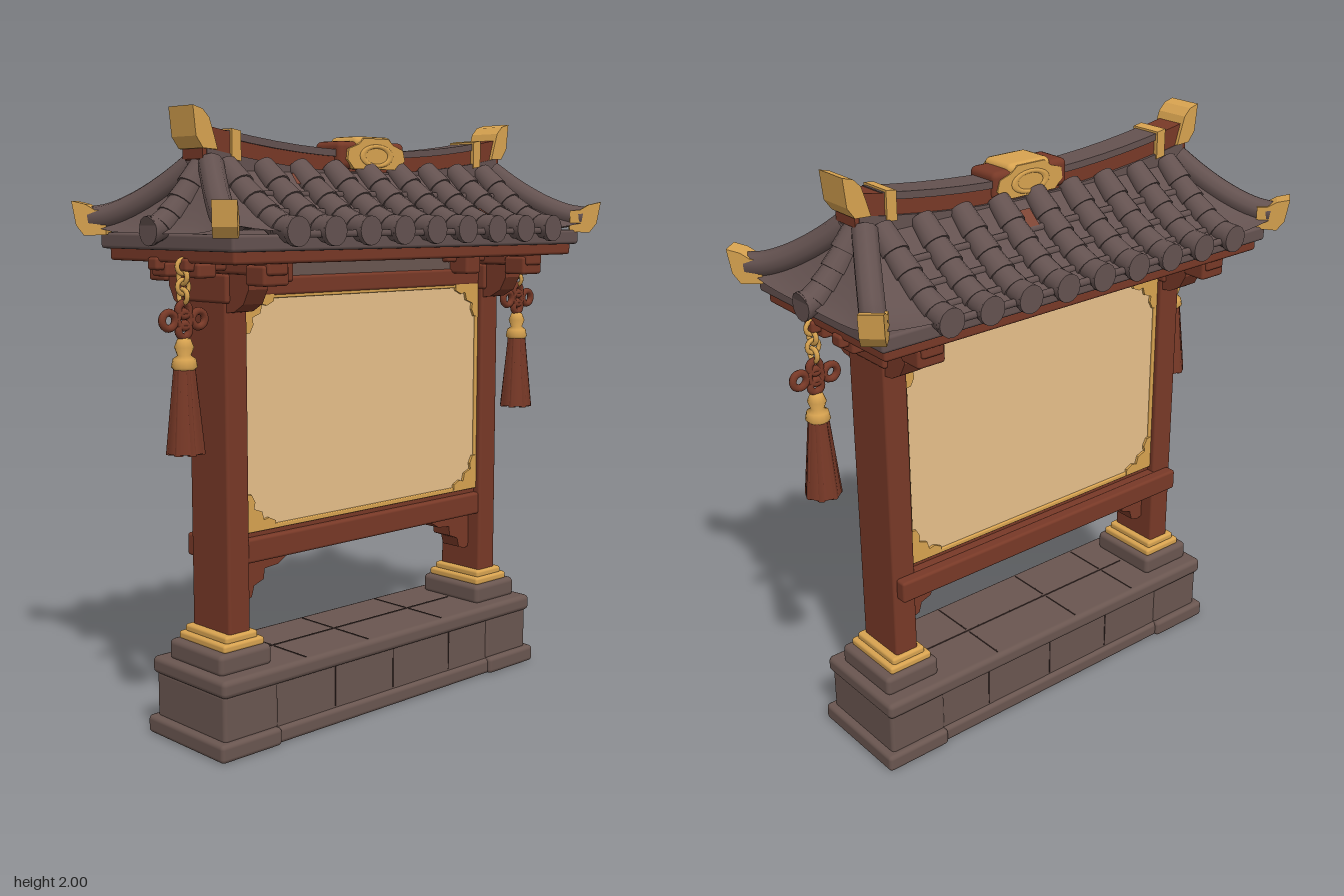
import * as THREE from 'three';
import { RoundedBoxGeometry } from 'three/addons/geometries/RoundedBoxGeometry.js';

export function createModel() {
  const root = new THREE.Group();
  const mat = (name, color, side = THREE.FrontSide) => {
    const m = new THREE.MeshStandardMaterial({ color, side });
    m.name = name;
    return m;
  };
  const stone = mat('stone', 0x6a5650);
  const tile = mat('roofTile', 0x645250, THREE.DoubleSide);
  const red = mat('redWood', 0x783927);
  const gold = mat('gold', 0xd8a350);
  const paper = mat('parchment', 0xf0c790);
  const dark = mat('darkSeam', 0x3b2c29);
  const patch = mat('exposedBoard', 0x7c4434, THREE.DoubleSide);

  const add = (name, geo, material, parent = root) => {
    const m = new THREE.Mesh(geo, material);
    m.name = name;
    parent.add(m);
    return m;
  };
  // Bevelled block given by its extents on each axis
  const block = (name, [x0, x1], [y0, y1], [z0, z1], material, bevel = 0.01, parent = root) => {
    const s = [x1 - x0, y1 - y0, z1 - z0];
    const m = add(name, new RoundedBoxGeometry(...s, 2, Math.min(bevel, Math.min(...s) * 0.4)), material, parent);
    m.position.set((x0 + x1) / 2, (y0 + y1) / 2, (z0 + z1) / 2);
    return m;
  };
  // Tapered rod from a to b
  const rod = (name, a, b, ra, rb, material, sides = 12, parent = root) => {
    const m = add(name, new THREE.CylinderGeometry(rb, ra, a.distanceTo(b), sides), material, parent);
    m.position.copy(a).add(b).multiplyScalar(0.5);
    m.quaternion.setFromUnitVectors(new THREE.Vector3(0, 1, 0), b.clone().sub(a).normalize());
    return m;
  };
  // Flat outline extruded symmetrically about z = 0
  const slab = (pts, depth) => {
    const g = new THREE.ExtrudeGeometry(new THREE.Shape(pts.map(p => new THREE.Vector2(...p))), { depth, bevelEnabled: false });
    return g.translate(0, 0, -depth / 2);
  };
  const mirrorPts = (pts, s) => (s > 0 ? pts : pts.map(([x, y]) => [-x, y]));
  const V = (x, y, z) => new THREE.Vector3(x, y, z);
  const sides = [-1, 1];

  // Stone base
  block('baseFoot', [-0.73, 0.73], [0, 0.055], [-0.185, 0.185], stone, 0.015);
  block('baseBody', [-0.705, 0.705], [0.04, 0.22], [-0.17, 0.17], stone, 0.015);
  block('baseTop', [-0.73, 0.73], [0.2, 0.258], [-0.19, 0.19], stone, 0.018);
  for (const s of sides) {
    const span = (a, b) => (s > 0 ? [a, b] : [-b, -a]);
    block('baseCornerFoot', span(0.5, 0.745), [0, 0.06], [-0.198, 0.198], stone, 0.015);
    block('baseCornerBody', span(0.5, 0.72), [0.05, 0.21], [-0.178, 0.178], stone, 0.015);
    block('postPlinth', span(0.49, 0.7), [0.25, 0.322], [-0.137, 0.137], stone, 0.018);
    for (const x of [-0.25, 0.02, 0.3]) block('baseSeam', [x, x + 0.005], [0.06, 0.2], span(0.168, 0.172), dark, 0.001);
    for (const x of [-0.38, -0.1, 0.26]) block('slabSeam', [x, x + 0.005], [0.255, 0.26], span(0.01, 0.17), dark, 0.001);
  }
  block('slabSeamLong', [-0.48, 0.48], [0.255, 0.26], [-0.003, 0.003], dark, 0.001);

  // Posts, brackets and tassels on both sides
  for (const s of sides) {
    const span = (a, b) => (s > 0 ? [a, b] : [-b, -a]);
    block('postCollar', span(0.508, 0.672), [0.318, 0.346], [-0.12, 0.12], gold);
    block('postCollarTop', span(0.525, 0.655), [0.34, 0.368], [-0.108, 0.108], gold);
    block('post', span(0.545, 0.632), [0.35, 1.5], [-0.095, 0.095], red);
    block('postCapital', span(0.54, 0.64), [1.41, 1.5], [-0.11, 0.11], red);

    // Stepped cloud bracket under the lower beam
    const cloud = [[0.56, 0.59], [0.35, 0.59], [0.35, 0.565], [0.385, 0.545], [0.44, 0.54], [0.445, 0.505],
      [0.485, 0.49], [0.495, 0.455], [0.525, 0.445], [0.56, 0.455]];
    add('cloudBracket', slab(mirrorPts(cloud, s), 0.08), red);

    // Roof bracket set: curved cross arm, bearing blocks and bars
    const arm = slab([[-0.2, 1.5], [-0.2, 1.455], [-0.175, 1.41], [-0.13, 1.385], [-0.09, 1.38], [0.09, 1.38],
      [0.13, 1.385], [0.175, 1.41], [0.2, 1.455], [0.2, 1.5]], 0.075).rotateY(Math.PI / 2);
    add('crossArm', arm, red).position.x = s * 0.588;
    block('crossBar', span(0.55, 0.63), [1.5, 1.55], [-0.3, 0.3], red);
    for (const z of sides) {
      block('bearingBlock', span(0.54, 0.64), [1.468, 1.53], z > 0 ? [0.2, 0.29] : [-0.29, -0.2], red);
      block('longBar', span(0.36, 0.78), [1.51, 1.55], z > 0 ? [0.05, 0.1] : [-0.1, -0.05], red);
      block('innerBearingBlock', span(0.4, 0.475), [1.47, 1.535], z > 0 ? [0.04, 0.15] : [-0.15, -0.04], red);
      block('outerBearingBlock', span(0.68, 0.75), [1.49, 1.535], z > 0 ? [0.04, 0.12] : [-0.12, -0.04], red);
    }

    // Hanging charm: chain, looped knot, bead and tassel
    const charm = new THREE.Group();
    charm.name = 'hangingTassel';
    charm.position.set(s * 0.77, 0, 0.07);
    root.add(charm);
    [1.525, 1.495, 1.465, 1.437].forEach((y, i) => {
      const link = add('chainLink', new THREE.TorusGeometry(0.021, 0.008, 6, 14), gold, charm);
      link.position.y = y;
      link.rotation.y = (i % 2) * Math.PI / 2;
    });
    for (const [x, y, r] of [[-0.055, 1.367, 0.024], [0.055, 1.367, 0.024], [0, 1.397, 0.02], [0, 1.367, 0.024], [0, 1.335, 0.02]])
      add('knotLoop', new THREE.TorusGeometry(r, 0.012, 8, 16), red, charm).position.set(x, y, 0);
    const cap = [[0.001, 1.315], [0.02, 1.31], [0.03, 1.285], [0.021, 1.26], [0.035, 1.25], [0.04, 1.225], [0.03, 1.215]];
    add('tasselCap', new THREE.LatheGeometry(cap.map(p => new THREE.Vector2(...p)).reverse(), 14), gold, charm);
    rod('tasselSkirt', V(0, 0.965, 0), V(0, 1.235, 0), 0.058, 0.03, red, 14, charm);
    for (let i = 0; i < 7; i++) {
      const a = i / 7 * Math.PI * 2, c = Math.cos(a), d = Math.sin(a);
      rod('tasselStrand', V(c * 0.047, 0.96, d * 0.047), V(c * 0.024, 1.23, d * 0.024), 0.014, 0.009, red, 6, charm);
    }
  }

  // Beams
  block('lowerBeam', [-0.56, 0.56], [0.58, 0.66], [-0.1, 0.088], red);
  block('backRail', [-0.62, 0.62], [0.585, 0.66], [-0.135, -0.09], red);
  block('panelSill', [-0.56, 0.56], [0.64, 0.69], [-0.065, 0.065], red);
  block('upperBeam', [-0.56, 0.56], [1.425, 1.485], [-0.08, 0.08], red);
  block('beamCap', [-0.56, 0.56], [1.475, 1.58], [-0.07, 0.07], stone);

  // Notice panel with gold trim and corner ornaments on both faces
  block('noticePanel', [-0.545, 0.545], [0.68, 1.435], [-0.068, 0.068], paper, 0.004);
  for (const z of sides) {
    const face = z > 0 ? [0.06, 0.076] : [-0.076, -0.06];
    for (const y of [0.676, 1.417]) block('panelTrim', [-0.545, 0.545], [y, y + 0.016], face, gold, 0.004);
    for (const x of [-0.547, 0.533]) block('panelTrim', [x, x + 0.014], [0.676, 1.433], face, gold, 0.004);
    for (const sx of sides) for (const sy of sides) {
      const c = [[0, 0], [0.12, 0], [0.118, 0.022], [0.09, 0.035], [0.07, 0.03], [0.062, 0.058], [0.03, 0.07], [0.034, 0.092], [0.02, 0.118], [0, 0.12]];
      const pts = c.map(([x, y]) => [sx * (0.542 - x), 1.056 + sy * (0.374 - y)]);
      add('cornerOrnament', slab(pts, 0.009), gold).position.z = z * 0.074;
    }
  }

  // Eave frame and ceiling
  block('ceiling', [-0.79, 0.79], [1.572, 1.622], [-0.335, 0.335], tile);
  for (const s of sides) {
    block('eaveBeam', [-0.77, 0.77], [1.535, 1.585], s > 0 ? [0.265, 0.315] : [-0.315, -0.265], red);
    block('eaveEndBeam', s > 0 ? [0.72, 0.77] : [-0.77, -0.72], [1.535, 1.585], [-0.315, 0.315], red);
  }

  // Concave hipped roof: t runs from ridge (0) to eave (1), u across each slope
  const X = t => 0.64 + 0.18 * t;
  const Z = t => 0.045 + 0.3 * t;
  const Y = t => 1.622 + 0.195 * Math.pow(Math.max(0, 1 - t), 1.4);
  const lift = (u, t) => 0.03 * t * t * Math.pow(Math.abs(u), 5);
  const slope = (s, alongX) => (u, t) => alongX
    ? V(u * X(t), Y(t) + lift(u, t), s * Z(t))
    : V(s * X(t), Y(t) + lift(u, t), u * Z(t));
  const surface = (fn, u0, u1, t0, t1, n, dy = 0) => {
    const g = new THREE.PlaneGeometry(1, 1, n, 8);
    const p = g.attributes.position;
    for (let i = 0; i < p.count; i++) {
      const v = fn(u0 + (u1 - u0) * (p.getX(i) + 0.5), t0 + (t1 - t0) * (0.5 - p.getY(i)));
      p.setXYZ(i, v.x, v.y + dy, v.z);
    }
    g.computeVertexNormals();
    return g;
  };
  // Row of overlapping barrel tiles along a path, closed by an eave disc
  const barrel = path => {
    const n = 5;
    for (let i = 0; i < n; i++)
      rod('barrelTile', path((i + 1.12) / n * 1.08), path(i / n * 1.08), 0.045, 0.038, tile, 14);
    rod('eaveDisc', path(1.13), path(1.07), 0.045, 0.045, tile, 16);
  };
  for (const s of sides) {
    add('longSlope', surface(slope(s, true), -1, 1, 0, 1.03, 32), tile);
    add('endSlope', surface(slope(s, false), -1, 1, 0, 1.0, 12), tile);
    for (let i = -4; i <= 4; i++) {
      const x = i * 0.146;
      barrel(t => V(x, Y(t) + 0.008, s * Z(t)));
      // Lapped edges of the pan tiles between the rows
      if (i < 4) for (const t of [0.3, 0.55, 0.8, 1.03])
        rod('panTileEdge', V(x + 0.03, Y(t), s * Z(t)), V(x + 0.116, Y(t), s * Z(t)), 0.012, 0.012, tile, 6);
    }
    barrel(t => V(s * X(t), Y(t) + 0.008, 0));

    // Hip ridges with upturned gold horns
    for (const z of sides) {
      const hip = t => V(s * X(t), Y(t) + lift(1, t) + 0.012, z * Z(t));
      const curve = new THREE.CatmullRomCurve3([0, 0.2, 0.4, 0.6, 0.8, 0.97].map(hip));
      add('hipRidge', new THREE.TubeGeometry(curve, 20, 0.04, 10), tile);
      const horn = slab([[-0.05, 1.615], [0.02, 1.612], [0.045, 1.645], [0.058, 1.72], [0.015, 1.71], [-0.015, 1.692], [-0.05, 1.69]], 0.072);
      const tip = add('hipHorn', horn, gold);
      tip.position.set(s * 0.815, 0, z * 0.335);
      tip.rotation.y = Math.atan2(-z * 0.75, s * 0.66);
    }
  }
  add('exposedBoardFront', surface(slope(1, true), 0.39, 0.51, 0.6, 0.9, 4, 0.02), patch);
  add('exposedBoardFrontTop', surface(slope(1, true), -0.52, -0.46, 0.08, 0.22, 4, 0.012), patch);
  add('exposedBoardBack', surface(slope(-1, true), 0.08, 0.16, 0.15, 0.32, 4, 0.015), patch);

  // Sagging main ridge, drawn as curved strips
  const sag = x => 0.14 * x * x;
  const strip = (x0, x1, y0, y1, depth) => {
    const pts = [];
    for (let i = 0; i <= 12; i++) { const x = x0 + (x1 - x0) * i / 12; pts.push([x, y0 + sag(x)]); }
    for (let i = 12; i >= 0; i--) { const x = x0 + (x1 - x0) * i / 12; pts.push([x, y1 + sag(x)]); }
    return slab(pts, depth);
  };
  add('ridgeBase', strip(-0.66, 0.66, 1.77, 1.815, 0.105), tile);
  add('ridgeBody', strip(-0.66, 0.66, 1.8, 1.868, 0.085), red);
  add('ridgeCap', strip(-0.58, 0.58, 1.862, 1.885, 0.098), tile);
  for (const s of sides) {
    const [a, b] = s > 0 ? [0.57, 0.675] : [-0.675, -0.57];
    add('ridgeEnd', strip(a, b, 1.78, 1.882, 0.1), red);
    add('ridgeBand', strip(s * 0.55 - 0.018, s * 0.55 + 0.018, 1.8, 1.892, 0.115), gold);
    const horn = [[0.625, 1.872], [0.68, 1.875], [0.706, 1.91], [0.716, 2], [0.68, 1.99], [0.655, 1.965], [0.64, 1.92]];
    add('ridgeHorn', slab(mirrorPts(horn, s), 0.122), gold);
  }

  // Central ridge ornament
  block('ornamentBody', [-0.13, 0.17], [1.825, 1.915], [-0.06, 0.07], red, 0.02);
  block('ornamentCrown', [-0.06, 0.11], [1.83, 1.932], [-0.062, 0.074], gold, 0.02);
  for (const z of [-0.054, 0.07]) {
    const scroll = [[-0.105, 1.855], [-0.075, 1.825], [0.125, 1.825], [0.16, 1.855], [0.15, 1.89], [0.105, 1.905], [0.08, 1.925], [-0.03, 1.925], [-0.055, 1.905], [-0.1, 1.89]];
    add('ornamentScroll', slab(scroll, 0.018), gold).position.z = z;
    const ring = add('ornamentRing', new THREE.TorusGeometry(0.04, 0.009, 8, 20), gold);
    ring.scale.set(1.6, 0.8, 0.6);
    ring.position.set(0.027, 1.868, z + Math.sign(z) * 0.008);
  }
  return root;
}
